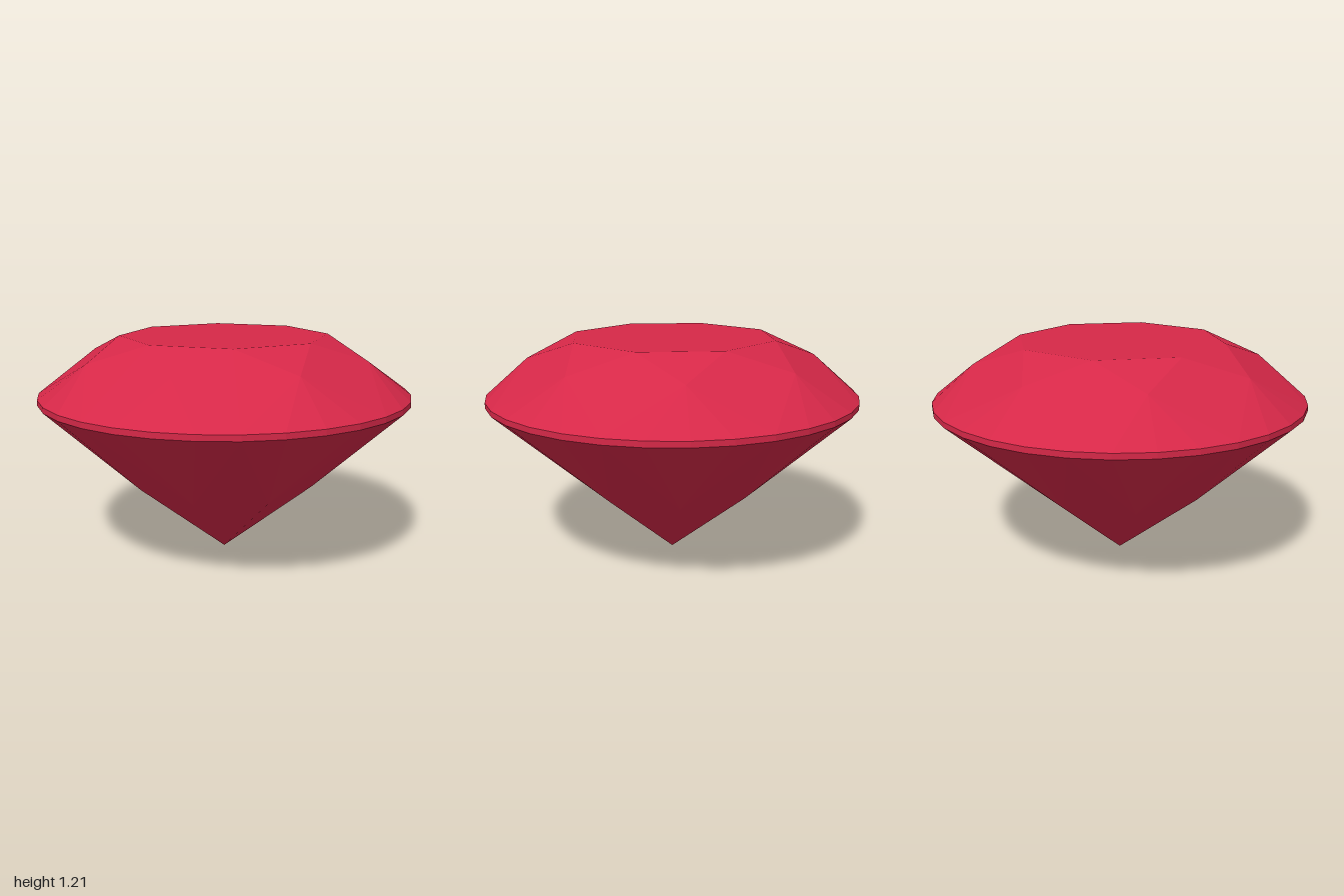
import * as THREE from 'three';

const TURN = 3.7;                 // small twist of the whole cut, degrees
const FOLD = 8, STEP = 360 / 32;  // eight-fold cut, 32-sided girdle
const GIRDLE_TOP = 0.904, GIRDLE_BOTTOM = 0.874;

// Point on a ring; angle in girdle steps
function ring(radius, y, step) {
  const a = THREE.MathUtils.degToRad(TURN + step * STEP);
  return new THREE.Vector3(Math.cos(a) * radius, y, Math.sin(a) * radius);
}
const table = (s) => ring(0.562, 1.21, s);
const star = (s) => ring(0.776, 1.102, s);
const upper = (s) => ring(1.002, GIRDLE_TOP, s);
const lower = (s) => ring(1.002, GIRDLE_BOTTOM, s);
const pavilionJoint = (s) => ring(0.5, 0.404, s);
const tip = new THREE.Vector3(0, 0, 0);

// Flat facets: each polygon becomes a triangle fan
function facetMesh(name, polygons, material) {
  const points = [];
  for (const p of polygons)
    for (let i = 1; i < p.length - 1; i++) points.push(p[0], p[i], p[i + 1]);
  const geometry = new THREE.BufferGeometry().setFromPoints(points);
  geometry.computeVertexNormals();
  const mesh = new THREE.Mesh(geometry, material);
  mesh.name = name;
  return mesh;
}

export function createModel() {
  const group = new THREE.Group();
  group.name = 'gem';
  const ruby = new THREE.MeshStandardMaterial({ color: 0xd62848 });
  ruby.name = 'ruby red';

  const top = [[]], stars = [], kites = [], upperFacets = [];
  const mains = [], lowerFacets = [], band = [];

  for (let k = 0; k < FOLD; k++) {
    const s = k * 4; // four girdle steps per fold
    top[0].unshift(table(s));
    stars.push([table(s + 4), star(s + 2), table(s)]);
    kites.push([table(s), star(s + 2), upper(s), star(s - 2)]);
    mains.push([tip, pavilionJoint(s - 2), lower(s), pavilionJoint(s + 2)]);
    for (let i = s; i < s + 4; i++) {
      upperFacets.push([star(s + 2), upper(i + 1), upper(i)]);
      lowerFacets.push([pavilionJoint(s + 2), lower(i), lower(i + 1)]);
      band.push([upper(i), upper(i + 1), lower(i + 1), lower(i)]);
    }
  }

  // Crown, girdle and pavilion
  group.add(
    facetMesh('table', top, ruby),
    facetMesh('starFacets', stars, ruby),
    facetMesh('crownKites', kites, ruby),
    facetMesh('upperGirdleFacets', upperFacets, ruby),
    facetMesh('girdle', band, ruby),
    facetMesh('lowerGirdleFacets', lowerFacets, ruby),
    facetMesh('pavilionMains', mains, ruby)
  );
  return group;
}
